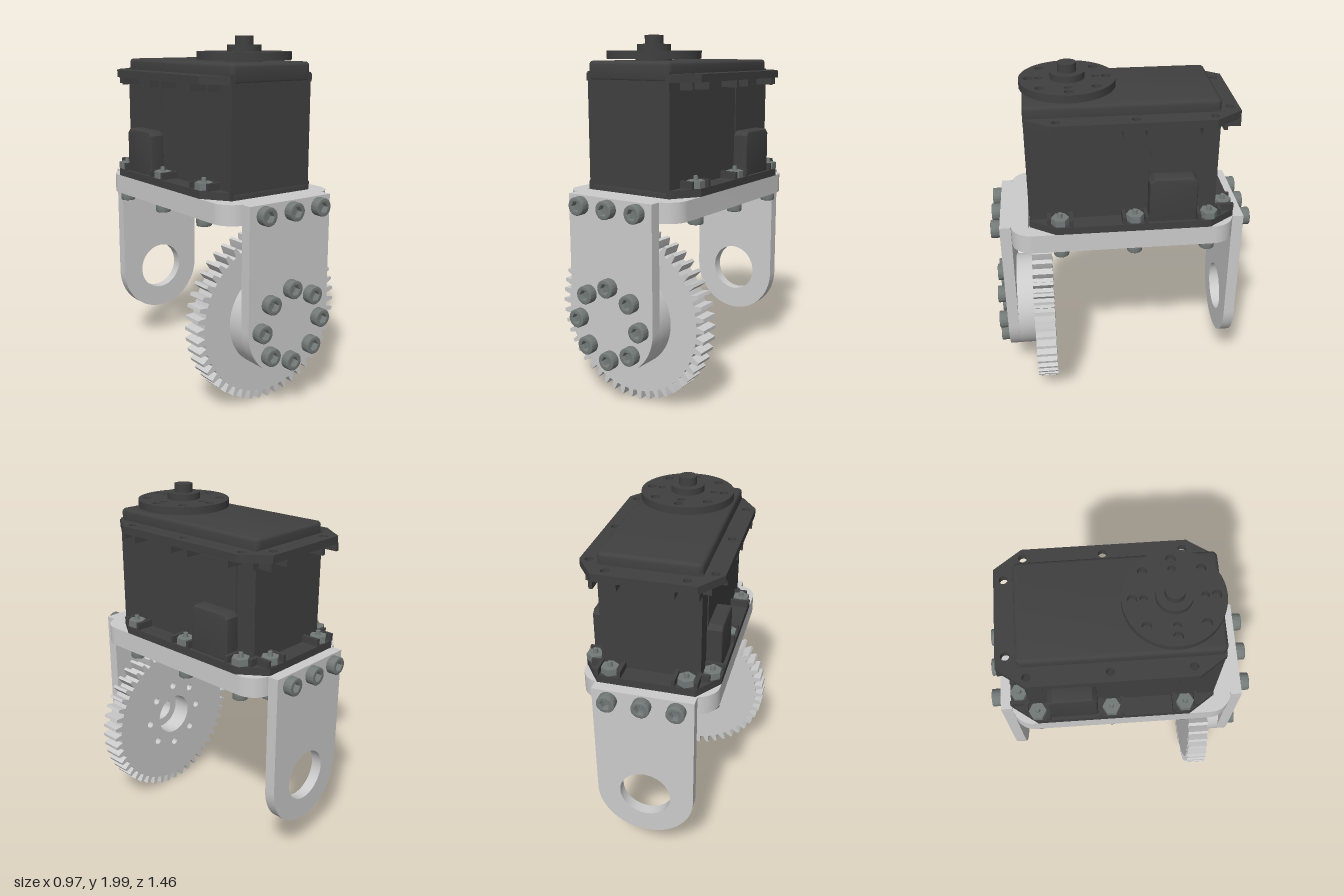
import * as THREE from 'three';
import { toCreasedNormals, mergeGeometries } from 'three/addons/utils/BufferGeometryUtils.js';

const mat = (color) => new THREE.MeshStandardMaterial({ color });
const METAL = mat(0xcccccc), CASE = mat(0x404040), STEEL = mat(0x737a78);
const AXLE_Y = 0.49, HORN_Z = 0.27;

function add(parent, name, geo, material, x = 0, y = 0, z = 0) {
  const m = new THREE.Mesh(geo, material);
  m.name = name;
  m.position.set(x, y, z);
  parent.add(m);
  return m;
}

function circle(r, x = 0, y = 0) {
  return new THREE.Path().absarc(x, y, r, 0, Math.PI * 2, true);
}

function disc(r) {
  return new THREE.Shape().absarc(0, 0, r, 0, Math.PI * 2, false);
}

function polygon(pts, Type = THREE.Shape) {
  return new Type(pts.map(([x, y]) => new THREE.Vector2(x, y)));
}

function roundRect(w, h, r) {
  const s = new THREE.Shape();
  s.absarc(w - r, h - r, r, 0, Math.PI / 2);
  s.absarc(-w + r, h - r, r, Math.PI / 2, Math.PI);
  s.absarc(-w + r, -h + r, r, Math.PI, Math.PI * 1.5);
  s.absarc(w - r, -h + r, r, Math.PI * 1.5, Math.PI * 2);
  s.closePath();
  return s;
}

// Extrusion toward +z; the bevel stays inside the outline and the depth
function extrude(shape, depth, bevel = 0, crease = 0.5) {
  const g = new THREE.ExtrudeGeometry(shape, {
    depth: depth - 2 * bevel, bevelEnabled: bevel > 0, bevelSize: bevel, bevelThickness: bevel,
    bevelOffset: -bevel, bevelSegments: 3, curveSegments: 24,
  });
  g.translate(0, 0, bevel);
  return toCreasedNormals(g, crease);
}

// Extrusion toward +y; the outline's y is -z
const extrudeUp = (...args) => extrude(...args).rotateX(-Math.PI / 2);

const hexagon = (r) => polygon(Array.from({ length: 6 }, (_, i) =>
  [r * Math.cos(-i * Math.PI / 3), r * Math.sin(-i * Math.PI / 3)]), THREE.Path);

// Socket head screw pointing along +z, seat at z = 0
function screwHead(r, h) {
  const s = disc(r);
  s.holes.push(hexagon(r * 0.55));
  const floor = new THREE.CircleGeometry(r * 0.7, 16).toNonIndexed();
  floor.translate(0, 0, h * 0.35);
  return mergeGeometries([extrude(s, h, 0.006), floor]);
}

// Plate with a straight top and a round lower end
function sidePlate(holeRadius) {
  const s = new THREE.Shape();
  s.moveTo(0.275, 1.17 - AXLE_Y);
  s.lineTo(-0.275, 1.17 - AXLE_Y);
  s.absarc(0, 0, 0.275, Math.PI, Math.PI * 2);
  s.closePath();
  if (holeRadius) s.holes.push(circle(holeRadius));
  return extrude(s, 0.062);
}

export function createModel() {
  const model = new THREE.Group();
  model.name = 'servoGearBracket';
  const group = (name) => {
    const g = new THREE.Group();
    g.name = name;
    model.add(g);
    return g;
  };

  // Bracket: rectangular frame and two hanging plates
  const bracket = group('bracket');
  const frame = roundRect(0.37, 0.615, 0.12);
  frame.holes.push(polygon([[-0.275, -0.52], [-0.275, 0.52], [0.275, 0.52], [0.275, -0.52]], THREE.Path));
  add(bracket, 'frame', extrudeUp(frame, 0.11), METAL, 0, 1.06, 0);
  add(bracket, 'frontPlate', sidePlate(0), METAL, 0, AXLE_Y, 0.615);
  add(bracket, 'backPlate', sidePlate(0.145), METAL, 0, AXLE_Y, -0.677);

  // Gear with hub
  const gear = group('gear');
  const pts = [], teeth = 48;
  for (let i = 0; i < teeth; i++) {
    for (const [t, r] of [[-0.3, 0.438], [-0.25, 0.455], [-0.14, 0.485], [0.14, 0.485], [0.25, 0.455], [0.3, 0.438]]) {
      const a = ((i + t) / teeth) * Math.PI * 2 + Math.PI / 2;
      pts.push([r * Math.cos(a), r * Math.sin(a)]);
    }
  }
  const wheel = polygon(pts);
  wheel.holes.push(circle(0.125));
  for (let i = 0; i < 8; i++) {
    const a = i * Math.PI / 4;
    wheel.holes.push(circle(0.022, 0.203 * Math.cos(a), 0.203 * Math.sin(a)));
  }
  add(gear, 'toothedWheel', extrude(wheel, 0.115, 0, 0.3), METAL, 0, AXLE_Y, 0.4);
  const hub = disc(0.275);
  hub.holes.push(circle(0.075));
  add(gear, 'hub', extrude(hub, 0.1), METAL, 0, AXLE_Y, 0.515);

  // Screws in the plates
  const screws = group('screws');
  const bigHead = screwHead(0.05, 0.052);
  for (let i = 0; i < 8; i++) {
    const a = i * Math.PI / 4;
    add(screws, 'hubScrew', bigHead, STEEL, 0.203 * Math.cos(a), AXLE_Y + 0.203 * Math.sin(a), 0.677);
  }
  for (const x of [-0.185, 0, 0.185]) {
    add(screws, 'frontScrew', bigHead, STEEL, x, 1.115, 0.677);
    add(screws, 'backScrew', bigHead, STEEL, x, 1.115, -0.677).rotation.y = Math.PI;
  }

  // Servo case: body, rounded caps, side connector boxes
  const servo = group('servo');
  add(servo, 'body', new THREE.BoxGeometry(0.535, 0.66, 1.02), CASE, 0, 1.48, 0);
  const cap = extrudeUp(roundRect(0.268, 0.512, 0.03), 0.11, 0.02, 0.6);
  add(servo, 'topCap', cap, CASE, 0, 1.755, 0);
  add(servo, 'bottomCap', cap, CASE, 0, 1.1, 0);
  for (const s of [-1, 1]) {
    const box = polygon([[0, 0], [0.26, 0], [0.26, 0.25], [0.235, 0.275], [0.025, 0.275], [0, 0.25]]);
    add(servo, 'connectorBox', extrude(box, 0.09, 0.012).rotateY(Math.PI / 2), CASE,
      s > 0 ? 0.262 : -0.352, 1.19, -0.135);
    add(servo, 'sidePanel', new THREE.BoxGeometry(0.012, 0.26, 0.245), CASE, s * 0.267, 1.59, -0.265);
  }

  // Mounting flanges with screw holes
  const mounts = [];
  for (const s of [-1, 1]) {
    for (const z of [0.345, -0.06, -0.465]) mounts.push([s * 0.32, z]);
    mounts.push([s * 0.205, -0.565]);
  }
  const flange = polygon([[0.275, -0.51], [0.37, -0.37], [0.37, 0.47], [0.265, 0.615],
    [-0.265, 0.615], [-0.37, 0.47], [-0.37, -0.37], [-0.275, -0.51]]);
  for (const [x, z] of mounts) flange.holes.push(circle(0.022, x, -z));
  const flangeGeo = extrudeUp(flange, 0.042);
  add(servo, 'lowerFlange', flangeGeo, CASE, 0, 1.17, 0);
  add(servo, 'upperFlange', flangeGeo, CASE, 0, 1.76, 0);

  // Nut pockets on both flanges, nuts and screws on the lower one
  const smallHead = screwHead(0.042, 0.045).rotateX(Math.PI / 2);
  const nut = new THREE.CylinderGeometry(0.049, 0.049, 0.038, 6).toNonIndexed();
  nut.computeVertexNormals();
  const tip = new THREE.CylinderGeometry(0.012, 0.022, 0.1, 16);
  for (const [x, z] of mounts) {
    const back = z < -0.5;
    for (const y of [1.23, 1.741]) {
      for (const k of [-1, 1]) {
        if (back) {
          add(servo, 'nutPocketWall', new THREE.BoxGeometry(0.02, 0.042, 0.105), CASE, x + k * 0.06, y, -0.5615);
        } else {
          // walls beside the flange chamfers are shorter
          const depth = (z > 0.3 && k > 0) ? 0.075 : (z < -0.4 && k < 0) ? 0.05 : 0.1;
          add(servo, 'nutPocketWall', new THREE.BoxGeometry(depth, 0.042, 0.02), CASE,
            Math.sign(x) * (0.268 + depth / 2), y, z + k * 0.06);
        }
      }
    }
    add(screws, 'nut', nut, STEEL, x, 1.231, z);
    add(screws, 'screwTip', tip, STEEL, x, 1.225, z);
    add(screws, 'frameScrew', smallHead, STEEL, x, 1.06, z);
  }

  // Output horn with hole pattern, collar and shaft
  const horn = group('horn');
  const hornDisc = disc(0.257);
  for (let i = 0; i < 8; i++) {
    const c = Math.cos(i * Math.PI / 4), s = Math.sin(i * Math.PI / 4);
    hornDisc.holes.push(circle(0.025, 0.205 * c, 0.205 * s));
    if (i % 2 === 0) hornDisc.holes.push(circle(0.02, 0.15 * c, 0.15 * s));
  }
  add(horn, 'hornDisc', extrudeUp(hornDisc, 0.042), CASE, 0, 1.875, HORN_Z);
  for (const [name, r, y0, y1] of [['hornSeat', 0.1, 1.85, 1.88], ['hornCollar', 0.092, 1.91, 1.953], ['hornShaft', 0.05, 1.95, 2]]) {
    add(horn, name, new THREE.CylinderGeometry(r, r, y1 - y0, 40), CASE, 0, (y0 + y1) / 2, HORN_Z);
  }

  // Idler boss under the case
  const boss = disc(0.1);
  boss.holes.push(circle(0.065));
  add(servo, 'idlerBoss', extrudeUp(boss, 0.04), CASE, 0, 1.07, HORN_Z);
  add(servo, 'idlerScrew', screwHead(0.05, 0.03).rotateX(Math.PI / 2), CASE, 0, 1.105, HORN_Z);

  return model;
}
